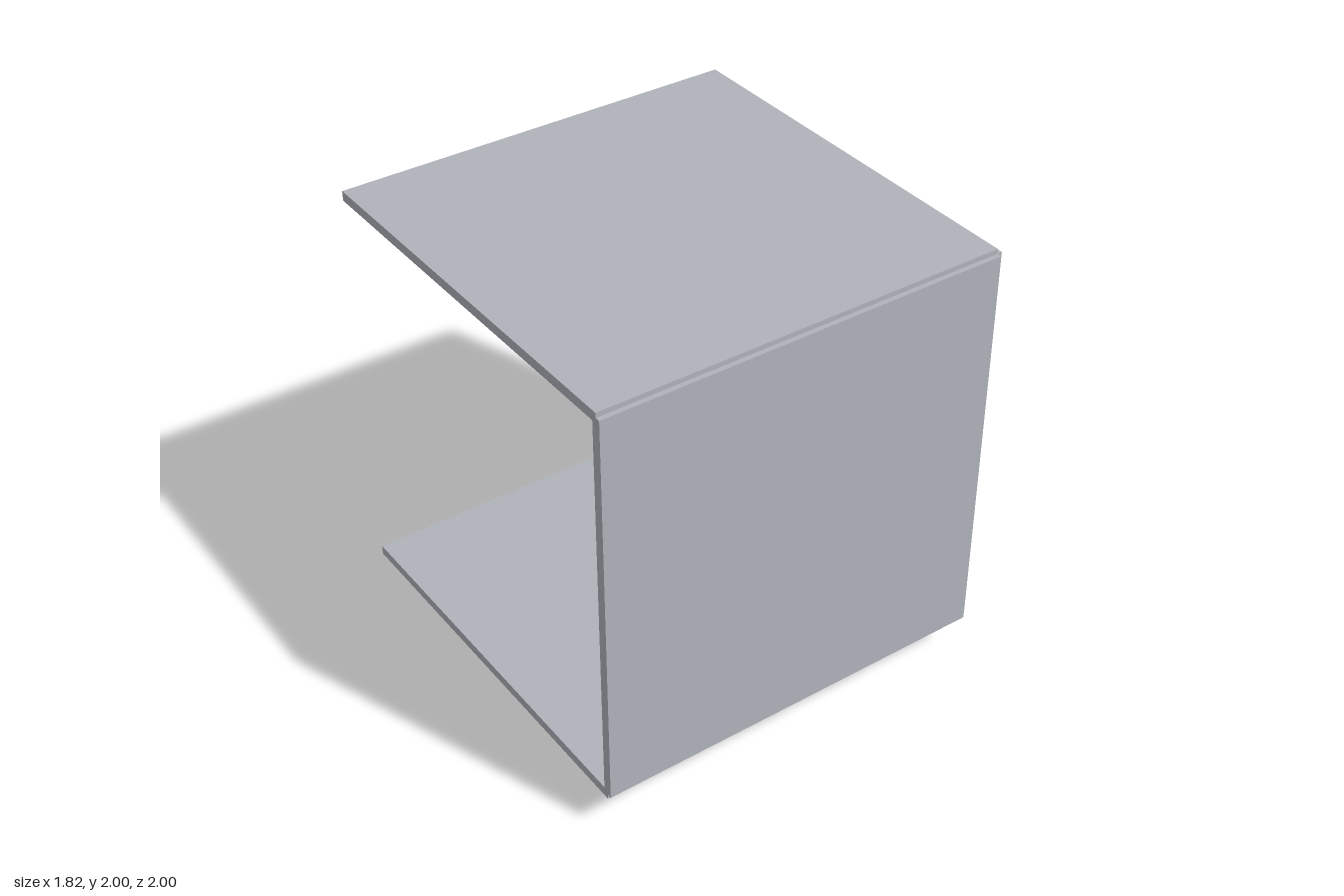
import * as THREE from 'three';

const material = (name, color) => {
  const m = new THREE.MeshStandardMaterial({ color });
  m.name = name;
  return m;
};

export function createModel() {
  const group = new THREE.Group();
  const panelGrey = material('panelGrey', 0xb0b3bb);
  const metal = material('metal', 0xb9babd);
  const charcoal = material('charcoal', 0x6e6d72);
  const green = material('boardGreen', 0x489a78);
  const yellow = material('paleYellow', 0xc9bb70);
  const red = material('red', 0xbc5b5b);
  const cyan = material('cyan', 0x0cb8d0);

  const add = (name, geometry, mat) => {
    const mesh = new THREE.Mesh(geometry, mat);
    mesh.name = name;
    group.add(mesh);
  };
  // Box given by its limits on each axis
  const box = (name, mat, [x0, x1], [y0, y1], [z0, z1]) =>
    add(name, new THREE.BoxGeometry(x1 - x0, y1 - y0, z1 - z0)
      .translate((x0 + x1) / 2, (y0 + y1) / 2, (z0 + z1) / 2), mat);
  // Disc or shaft lying along x
  const disc = (name, mat, [x0, x1], y, z, r) =>
    add(name, new THREE.CylinderGeometry(r, r, x1 - x0, 48)
      .rotateZ(Math.PI / 2).translate((x0 + x1) / 2, y, z), mat);

  // Enclosure: four overlapping panels, open at the front and one side
  box('topPanel', panelGrey, [-0.91, 0.885], [1.957, 2], [-0.793, 1]);
  box('bottomPanel', panelGrey, [-0.91, 0.885], [0.163, 0.206], [-0.793, 1]);
  box('sidePanel', panelGrey, [0.863, 0.906], [0.185, 1.979], [-0.793, 1]);
  box('backPanel', panelGrey, [-0.91, 0.885], [0.185, 1.979], [-0.815, -0.772]);

  // Block passing through the floor
  box('baseBlock', charcoal, [-0.46, 0.435], [0, 0.45], [-0.75, -0.12]);

  // Thumb wheel passing through the back
  disc('thumbWheel', cyan, [0.05, 0.103], 1.08, -0.75, 0.25);
  disc('wheelHub', cyan, [0.02, 0.13], 1.08, -0.75, 0.055);

  // Board with its mounted panel and ledge
  box('board', green, [0.585, 0.64], [0.317, 1.84], [-0.57, 0.77]);
  box('mountPanel', yellow, [0.507, 0.58], [1.125, 1.66], [-0.57, 0.77]);
  box('mountLedge', yellow, [0.497, 0.588], [1.06, 1.103], [-0.57, 0.77]);

  // Finned shaft
  disc('finShaft', metal, [0.257, 0.507], 1.395, 0.1, 0.071);
  for (let i = 0; i < 5; i++) {
    const x = 0.237 + i * 0.0545;
    disc('fin', metal, [x - 0.008, x + 0.008], 1.395, 0.1, 0.195);
  }

  // Motor and its disc
  box('motorBody', red, [0.23, 0.545], [0.775, 0.935], [0.03, 0.59]);
  disc('motorDisc', red, [0.175, 0.23], 0.855, 0.31, 0.135);

  return group;
}
